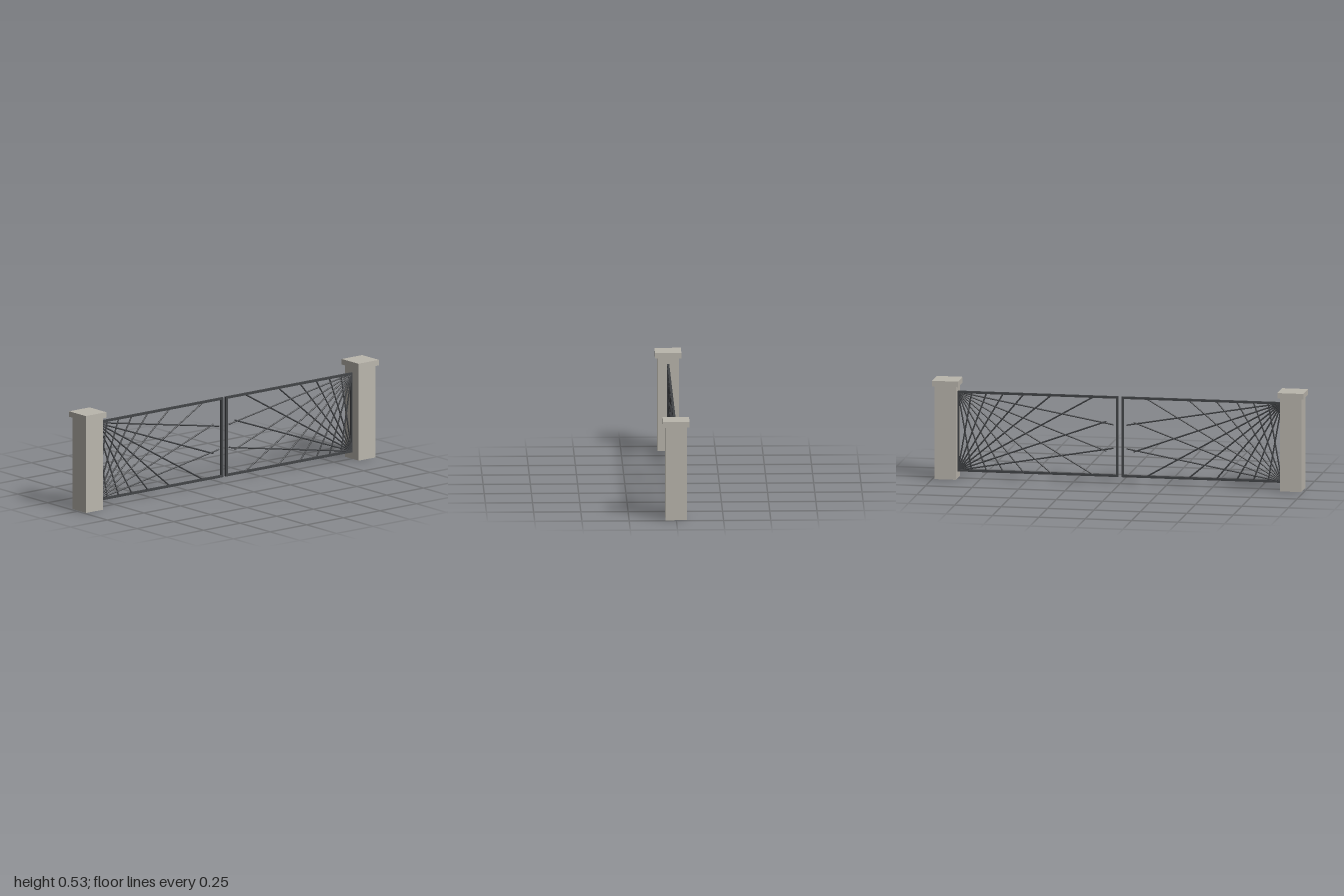
import * as THREE from 'three';

export function createModel() {
  const stone = new THREE.MeshStandardMaterial({ color: 0xbab6ad });
  stone.name = 'stone';
  const iron = new THREE.MeshStandardMaterial({ color: 0x424447 });
  iron.name = 'dark iron';

  const hingeX = 0.872, meetX = 0.015, bottomY = 0.042, topY = 0.464;
  const bar = 0.012, rodRadius = 0.004, maxReach = 0.85;
  const height = topY - bottomY;

  function box(parent, name, material, size, position) {
    const mesh = new THREE.Mesh(new THREE.BoxGeometry(...size), material);
    mesh.name = name;
    mesh.position.set(...position);
    parent.add(mesh);
  }

  // Thin round rod between two points in the plane of the gate
  function rod(parent, name, a, b) {
    const dir = b.clone().sub(a);
    const mesh = new THREE.Mesh(new THREE.CylinderGeometry(rodRadius, rodRadius, dir.length(), 8), iron);
    mesh.name = name;
    mesh.position.copy(a).add(b).multiplyScalar(0.5);
    mesh.quaternion.setFromUnitVectors(new THREE.Vector3(0, 1, 0), dir.normalize());
    parent.add(mesh);
  }

  const model = new THREE.Group();
  model.name = 'doubleGate';

  for (const side of [-1, 1]) {
    const label = side > 0 ? 'left' : 'right';

    // Stone pillar with an overhanging cap
    const pillar = new THREE.Group();
    pillar.name = label + 'Pillar';
    box(pillar, 'pillarShaft', stone, [0.114, 0.502, 0.114], [side * 0.93, 0.251, 0]);
    box(pillar, 'pillarCap', stone, [0.14, 0.03, 0.14], [side * 0.93, 0.517, 0]);

    // Rectangular frame of the leaf
    const leaf = new THREE.Group();
    leaf.name = label + 'GateLeaf';
    const midX = side * (hingeX + meetX) / 2, midY = (topY + bottomY) / 2;
    for (const [name, y] of [['bottomRail', bottomY], ['topRail', topY]])
      box(leaf, name, iron, [hingeX - meetX + bar, bar, bar], [midX, y, 0]);
    for (const [name, x] of [['meetingStile', meetX], ['hingeStile', hingeX]])
      box(leaf, name, iron, [bar, height + bar, bar], [side * x, midY, 0]);

    // Two fans of rods, one from each hinge corner, every ten degrees
    for (const [name, y, up] of [['lowerFanRod', bottomY, 1], ['upperFanRod', topY, -1]]) {
      for (let deg = 10; deg <= 80; deg += 10) {
        const angle = THREE.MathUtils.degToRad(deg);
        const reach = Math.min(maxReach, height / Math.sin(angle));
        const start = new THREE.Vector3(side * hingeX, y, 0);
        const step = new THREE.Vector3(-side * Math.cos(angle), up * Math.sin(angle), 0);
        rod(leaf, name, start, start.clone().addScaledVector(step, reach));
      }
    }
    model.add(pillar, leaf);
  }
  return model;
}
